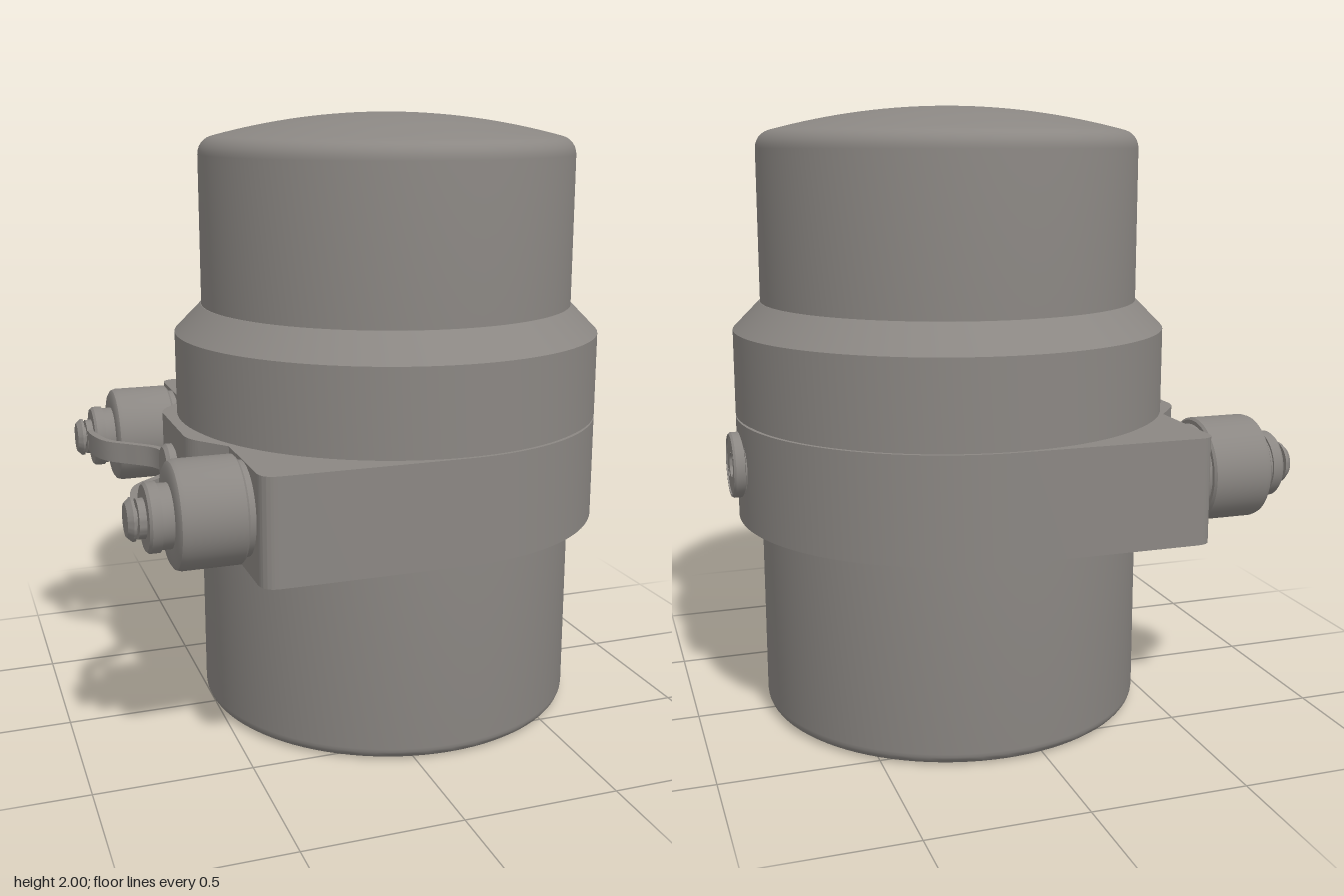
import * as THREE from 'three';
import { toCreasedNormals } from 'three/addons/utils/BufferGeometryUtils.js';

const AXIS_X = 0.122;  // centre line of the round housing
const PORT_Y = 0.855;  // height of the ports and the plug
const RING_R = 0.7125; // radius of the collar and the ring above it
const material = new THREE.MeshStandardMaterial({ color: 0x8b8783 });

function mesh(name, geometry) {
  const m = new THREE.Mesh(toCreasedNormals(geometry, 0.6), material);
  m.name = name;
  return m;
}

// Turned part from [radius, height] pairs, listed bottom to top
function lathe(points, segments = 96) {
  return new THREE.LatheGeometry(points.map(([r, y]) => new THREE.Vector2(r, y)), segments);
}

// Rounded edge points between two angles
function fillet(r, y, radius, from, to, steps = 6) {
  return Array.from({ length: steps + 1 }, (_, i) => {
    const a = from + (to - from) * i / steps;
    return [r + radius * Math.cos(a), y + radius * Math.sin(a)];
  });
}

// Round face looking along +z with pits [x, y, radius] that narrow by a taper
function pittedFace(name, radius, holes, depth, taper) {
  const group = new THREE.Group();
  group.name = name;
  const shape = new THREE.Shape().absarc(0, 0, radius, 0, Math.PI * 2);
  for (const [x, y, r] of holes) {
    shape.holes.push(new THREE.Path().absarc(x, y, r, 0, Math.PI * 2, true));
    const pit = lathe([[0, depth], [r * taper, depth], [r, 0]], 32);
    pit.rotateX(-Math.PI / 2).translate(x, y, 0);
    group.add(mesh('hole', pit));
  }
  group.add(mesh('face', new THREE.ShapeGeometry(shape, 48)));
  return group;
}

// Collar block seen from above: half round, two port shoulders, centre pad
function collarShape() {
  const s = new THREE.Shape();
  s.moveTo(AXIS_X, -RING_R);
  s.absarc(AXIS_X, 0, RING_R, -Math.PI / 2, Math.PI / 2);
  s.lineTo(-0.46, RING_R);
  s.quadraticCurveTo(-0.517, RING_R, -0.517, 0.655);
  s.lineTo(-0.517, 0.34);
  s.lineTo(-0.59, 0.245);
  s.quadraticCurveTo(-0.62, 0.205, -0.62, 0.16);
  s.lineTo(-0.62, -0.16);
  s.quadraticCurveTo(-0.62, -0.205, -0.59, -0.245);
  s.lineTo(-0.517, -0.34);
  s.lineTo(-0.517, -0.655);
  s.quadraticCurveTo(-0.517, -RING_R, -0.46, -RING_R);
  s.closePath();
  return s;
}

// Flat band outline following a curve through the mirrored path points
function strapShape(half, thickness) {
  const path = [...half.map(([x, z]) => [x, -z]), ...half.slice().reverse()];
  const curve = new THREE.CatmullRomCurve3(path.map(([x, z]) => new THREE.Vector3(x, z, 0)));
  const sides = [[], []];
  for (let i = 0; i <= 64; i++) {
    const p = curve.getPoint(i / 64), t = curve.getTangent(i / 64);
    [1, -1].forEach((s, k) => sides[k].push(
      new THREE.Vector2(p.x - t.y * s * thickness / 2, p.y + t.x * s * thickness / 2)));
  }
  return new THREE.Shape([...sides[0], ...sides[1].reverse()]);
}

// Extrude a plan outline upward from the given height
function extrudeUp(shape, bottom, height) {
  const g = new THREE.ExtrudeGeometry(shape, { depth: height, bevelEnabled: false, curveSegments: 32 });
  return g.rotateX(-Math.PI / 2).translate(0, bottom, 0);
}

export function createModel() {
  const model = new THREE.Group();
  model.name = 'canister';

  // Lower bowl with rounded foot and pitted underside
  const bowl = mesh('lowerBowl', lathe([
    ...fillet(0.596, 0.04, 0.04, -Math.PI / 2, 0), [0.636, 0.7]]));
  bowl.position.x = AXIS_X;
  const c = 0.31;
  const base = pittedFace('base', 0.596,
    [[c, c, 0.04], [-c, c, 0.04], [-c, -c, 0.04], [c, -c, 0.04]], 0.03, 0.7);
  base.rotation.x = Math.PI / 2;
  base.position.x = AXIS_X;
  model.add(bowl, base);

  // Collar that carries the ports
  model.add(mesh('collar', extrudeUp(collarShape(), 0.665, 0.337)));

  // Upper housing: seam groove, ring, shoulder, wall and shallow dome
  const edge = fillet(0.5615, 1.865, 0.06, 0, Math.PI * 0.417);
  const [domeR, domeY] = edge[edge.length - 1];
  const dome = Array.from({ length: 16 }, (_, i) => {
    const t = 1 - (i + 1) / 16;
    return [domeR * t, 2 - (2 - domeY) * t * t];
  });
  const cap = mesh('upperHousing', lathe([
    [0.7, 0.99], [0.7, 1.009], [RING_R, 1.009], [RING_R, 1.286], [0.624, 1.376],
    [0.6215, 1.376], ...edge, ...dome]));
  cap.position.x = AXIS_X;
  model.add(cap);

  // Pair of capped ports on the right side
  const portProfile = [
    [0.145, -0.02], [0.145, 0.038], [0.158, 0.038], [0.165, 0.045], [0.165, 0.22],
    [0.16, 0.235], [0.148, 0.243], [0.098, 0.243], [0.098, 0.278], [0.105, 0.278],
    [0.105, 0.308], [0.098, 0.316], [0.06, 0.316], [0.06, 0.338], [0.035, 0.338],
    [0.035, 0.346], [0.065, 0.346], [0.065, 0.354], [0.05, 0.37], [0, 0.37]];
  for (const side of [1, -1]) {
    const port = mesh(side > 0 ? 'frontPort' : 'backPort',
      lathe(portProfile, 48).rotateZ(Math.PI / 2));
    port.position.set(-0.5, PORT_Y, side * 0.51);
    model.add(port);
  }

  // Retaining strap tying both caps to the centre button
  const half = [[-0.826, 0.5], [-0.821, 0.39], [-0.79, 0.29], [-0.72, 0.22],
    [-0.652, 0.15], [-0.627, 0.06]];
  model.add(mesh('strap', extrudeUp(strapShape(half, 0.024), PORT_Y - 0.035, 0.07)));
  const button = mesh('strapButton', lathe(
    [[0.07, 0], [0.07, 0.02], [0.08, 0.02], [0.08, 0.04], [0.07, 0.052], [0, 0.052]], 48)
    .rotateZ(Math.PI / 2));
  button.position.set(-0.605, PORT_Y, 0);
  model.add(button);

  // Round plug on the left side, seated on a thin flange
  const plug = new THREE.Group();
  plug.name = 'plug';
  const rim = mesh('plugRim', lathe([[0.117, -0.05], [0.117, -0.003], [0.107, -0.003],
    [0.107, 0.026], [0.102, 0.033], [0.096, 0.033], [0.096, 0.029]], 48).rotateZ(-Math.PI / 2));
  const face = pittedFace('plugFace', 0.096,
    [[0, 0, 0.04], [0.06, 0.038, 0.014], [-0.06, -0.038, 0.014]], 0.015, 0.97);
  face.rotation.y = Math.PI / 2;
  face.position.x = 0.029;
  plug.add(rim, face);
  plug.position.set(0.832, PORT_Y, 0);
  model.add(plug);

  return model;
}
